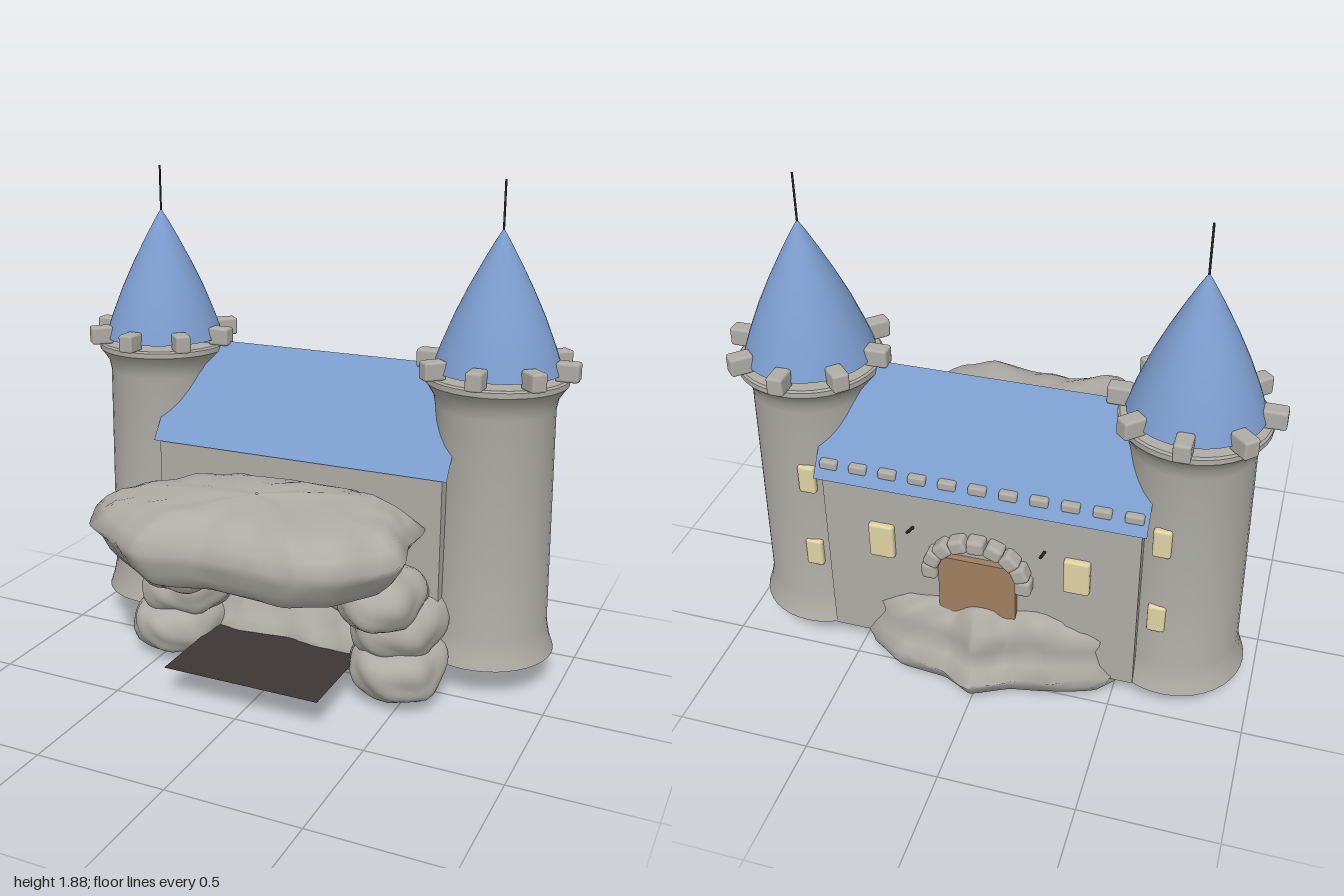
import * as THREE from 'three';
import { mergeVertices, toCreasedNormals } from 'three/addons/utils/BufferGeometryUtils.js';
import { RoundedBoxGeometry } from 'three/addons/geometries/RoundedBoxGeometry.js';

const mat = (name, color, side = THREE.FrontSide) => {
  const m = new THREE.MeshStandardMaterial({ color, side });
  m.name = name;
  return m;
};

// smooth deterministic bumps for the rocks
const bump = (x, y, z) =>
  (Math.sin(9 * x + 5 * z + 1) + Math.sin(11 * y - 7 * x + 2) + Math.sin(13 * z + 8 * y) +
   0.9 * Math.sin(27 * x - 21 * z + 9 * y) + 0.6 * Math.sin(38 * z + 31 * x + 26 * y)) / 4;

export function createModel() {
  const model = new THREE.Group();
  const stone = mat('stone', 0xafaca5, THREE.DoubleSide);
  const roofBlue = mat('roof blue', 0x7c9dcf, THREE.DoubleSide);
  const doorBrown = mat('door brown', 0xa07f60);
  const windowYellow = mat('window yellow', 0xdfd2a2);
  const black = mat('black iron', 0x2a2a2a);
  const floorDark = mat('dark floor', 0x3c3634, THREE.DoubleSide);

  const add = (name, geo, material, x = 0, y = 0, z = 0, parent = model) => {
    const m = new THREE.Mesh(geo, material);
    m.name = name;
    m.position.set(x, y, z);
    parent.add(m);
    return m;
  };
  const box = (w, h, d) => new THREE.BoxGeometry(w, h, d);
  const block = (w, h, d, r = 0.01) => new RoundedBoxGeometry(w, h, d, 2, r);

  // boulder: a bumpy, slightly blocky ellipsoid
  const boulder = (name, x, y, z, rx, ry, rz) => {
    const geo = new THREE.IcosahedronGeometry(1, 6);
    geo.deleteAttribute('uv');
    geo.deleteAttribute('normal');
    const g = mergeVertices(geo, 1e-4), p = g.attributes.position;
    for (let i = 0; i < p.count; i++) {
      const v = new THREE.Vector3().fromBufferAttribute(p, i);
      const q = Math.pow(v.x ** 4 + v.y ** 4 + v.z ** 4, -0.25);
      v.multiplyScalar((0.6 + 0.4 * q) * (0.97 + 0.15 * bump(v.x * 0.22 + x, v.y * 0.22 + y, v.z * 0.22 + z)));
      p.setXYZ(i, v.x * rx, v.y * ry, v.z * rz);
    }
    g.computeVertexNormals();
    return add(name, g, stone, x, y, z);
  };

  // rock built from one outline [x, z], scaled at rising levels [y, scale, zShift]
  const ringRock = (name, outline, levels, cx, cz, rough) => {
    const n = 72, pos = [], idx = [];
    const curve = new THREE.CatmullRomCurve3(
      outline.map(([x, z]) => new THREE.Vector3(x, 0, z)), true, 'catmullrom', 0.2);
    const ring = curve.getPoints(n).slice(0, n);
    levels.forEach(([y, s, dz = 0], j) => {
      for (const p of ring) {
        const x = cx + (p.x - cx) * s, z = cz + (p.z - cz) * s + dz;
        const b = rough * bump(x, y, z), k = 1 + (s < 0.99 ? b : 0);
        pos.push(cx + (x - cx) * k, y + b * (j > 2 ? 0.35 : 0.1), cz + (z - cz) * k);
      }
    });
    for (let j = 0; j < levels.length - 1; j++) for (let i = 0; i < n; i++) {
      const a = j * n + i, b = j * n + (i + 1) % n;
      idx.push(a, a + n, b, b, a + n, b + n);
    }
    const g = new THREE.BufferGeometry();
    g.setAttribute('position', new THREE.Float32BufferAttribute(pos, 3));
    g.setIndex(idx);
    g.computeVertexNormals();
    return add(name, g, stone);
  };

  // towers, open underneath
  const profile = (pts) => pts.map(([r, y]) => new THREE.Vector2(r, y));
  const towerGeo = toCreasedNormals(new THREE.LatheGeometry(profile([
    [0.262, 0.13], [0.245, 0.18], [0.233, 0.24], [0.22, 1.08], [0.228, 1.12],
    [0.25, 1.155], [0.262, 1.17], [0.262, 1.19], [0.255, 1.197], [0, 1.197]]), 40), 0.6);
  const spireGeo = new THREE.LatheGeometry(profile([
    [0.236, 1.215], [0.207, 1.3], [0.163, 1.41], [0.116, 1.51], [0.064, 1.61],
    [0.028, 1.675], [0.001, 1.72]]), 40);
  for (const s of [1, -1]) {
    const tower = new THREE.Group();
    tower.name = s > 0 ? 'leftTower' : 'rightTower';
    tower.position.set(0.698 * s, 0, -0.25);
    model.add(tower);
    add('towerBody', towerGeo, stone, 0, 0, 0, tower);
    add('spire', spireGeo, roofBlue, 0, 0, 0, tower);
    add('spirePole', new THREE.CylinderGeometry(0.004, 0.004, 0.19, 8), black, 0, 1.795, 0, tower);
    for (let i = 0; i < 8; i++) {
      const a = i * Math.PI / 4;
      const m = add('merlon', block(0.085, 0.07, 0.06), stone,
        0.2595 * Math.cos(a), 1.23, 0.2595 * Math.sin(a), tower);
      m.rotation.y = -a;
    }
    for (const y of [0.46, 0.8])
      add('towerWindow', block(0.065, 0.115, 0.03), windowYellow, -0.046 * s, y, -0.222, tower);
  }

  // hall and its two roof sheets
  add('hallWalls', box(1.17, 0.72, 0.485), stone, 0, 0.49, -0.247);
  const slope = Math.hypot(0.265, 0.365), tilt = Math.atan2(0.265, 0.365);
  for (const s of [1, -1]) {
    const sheet = new THREE.PlaneGeometry(1.21, slope).rotateX(-tilt);
    if (s < 0) sheet.rotateY(Math.PI);
    add(s > 0 ? 'frontRoof' : 'backRoof', sheet, roofBlue, 0, 1.0275, -0.255 + 0.1325 * s);
  }
  for (let i = 0; i < 11; i++)
    add('eaveBlock', block(0.066, 0.034, 0.034, 0.008), stone, -0.555 + 0.111 * i, 0.893, -0.482);

  // rear door with stone arch, windows and torch brackets
  add('door', box(0.29, 0.4, 0.04), doorBrown, 0, 0.39, -0.497);
  for (let i = 0; i < 9; i++) {
    const a = i * Math.PI / 8;
    const m = add('archStone', block(0.06, 0.066, 0.065, 0.015), stone,
      0.175 * Math.cos(a), 0.525 + 0.145 * Math.sin(a), -0.508);
    m.rotation.z = a;
  }
  for (const s of [1, -1]) {
    add('hallWindow', block(0.095, 0.145, 0.035), windowYellow, 0.365 * s, 0.6, -0.495);
    const torch = add('torchBracket', new THREE.CylinderGeometry(0.006, 0.006, 0.06, 8),
      black, 0.245 * s, 0.69, -0.52);
    torch.rotation.x = -1.2;
  }

  // floor plate at the cave mouth
  add('cavePlate', new THREE.PlaneGeometry(0.62, 0.47).rotateX(-Math.PI / 2), floorDark, 0, 0.13, 0.235);

  // rock mound under the hall, rising behind
  ringRock('rockMound', [[0.56, -0.25], [0.48, 0], [0.25, 0.08], [0, 0.05], [-0.25, 0.08],
    [-0.48, 0], [-0.58, -0.25], [-0.5, -0.5], [-0.3, -0.57], [-0.15, -0.6], [0, -0.67],
    [0.12, -0.61], [0.3, -0.59], [0.46, -0.48]],
  [[0.02, 0.01], [0.015, 0.45], [0.02, 0.78], [0.05, 0.91], [0.09, 0.96], [0.13, 1], [0.17, 0.9],
    [0.22, 0.84], [0.27, 0.83, -0.02], [0.31, 0.75, -0.03], [0.35, 0.66, -0.05],
    [0.375, 0.55, -0.06], [0.39, 0.35, -0.06], [0.39, 0.01, -0.06]], 0, -0.26, 0.1);

  // broad slab overhanging the cave
  ringRock('overhangSlab', [[0.535, 0.19], [0.58, 0.36], [0.445, 0.56], [0.3, 0.635], [0.14, 0.625],
    [-0.09, 0.605], [-0.305, 0.665], [-0.47, 0.56], [-0.61, 0.47], [-0.68, 0.31], [-0.56, 0.15],
    [-0.45, 0.02], [-0.3, -0.08], [0.3, -0.08], [0.53, 0]],
  [[0.508, 0.01], [0.508, 0.5], [0.512, 0.77], [0.53, 0.85], [0.57, 0.915], [0.615, 0.955], [0.655, 1],
    [0.7, 0.92], [0.74, 0.84], [0.768, 0.7], [0.783, 0.52], [0.792, 0.28], [0.795, 0.01]],
  -0.02, 0.27, 0.05);

  // boulders stacked as pillars on each side
  for (const s of [1, -1]) {
    boulder('lowerBoulder', 0.46 * s, 0.13, 0.07, 0.18, 0.115, 0.2);
    boulder('sideBoulder', 0.5 * s, 0.13, -0.1, 0.11, 0.11, 0.18);
    boulder('middleBoulder', 0.44 * s, 0.29, 0.04, 0.175, 0.125, 0.19);
    boulder('upperBoulder', 0.4 * s, 0.42, 0.11, 0.165, 0.115, 0.21);
    boulder('innerBoulder', 0.28 * s, 0.38, 0.02, 0.13, 0.1, 0.13);
    boulder('lintelRock', 0.12 * s, 0.475, 0.04, 0.15, 0.06, 0.12);
  }
  return model;
}
